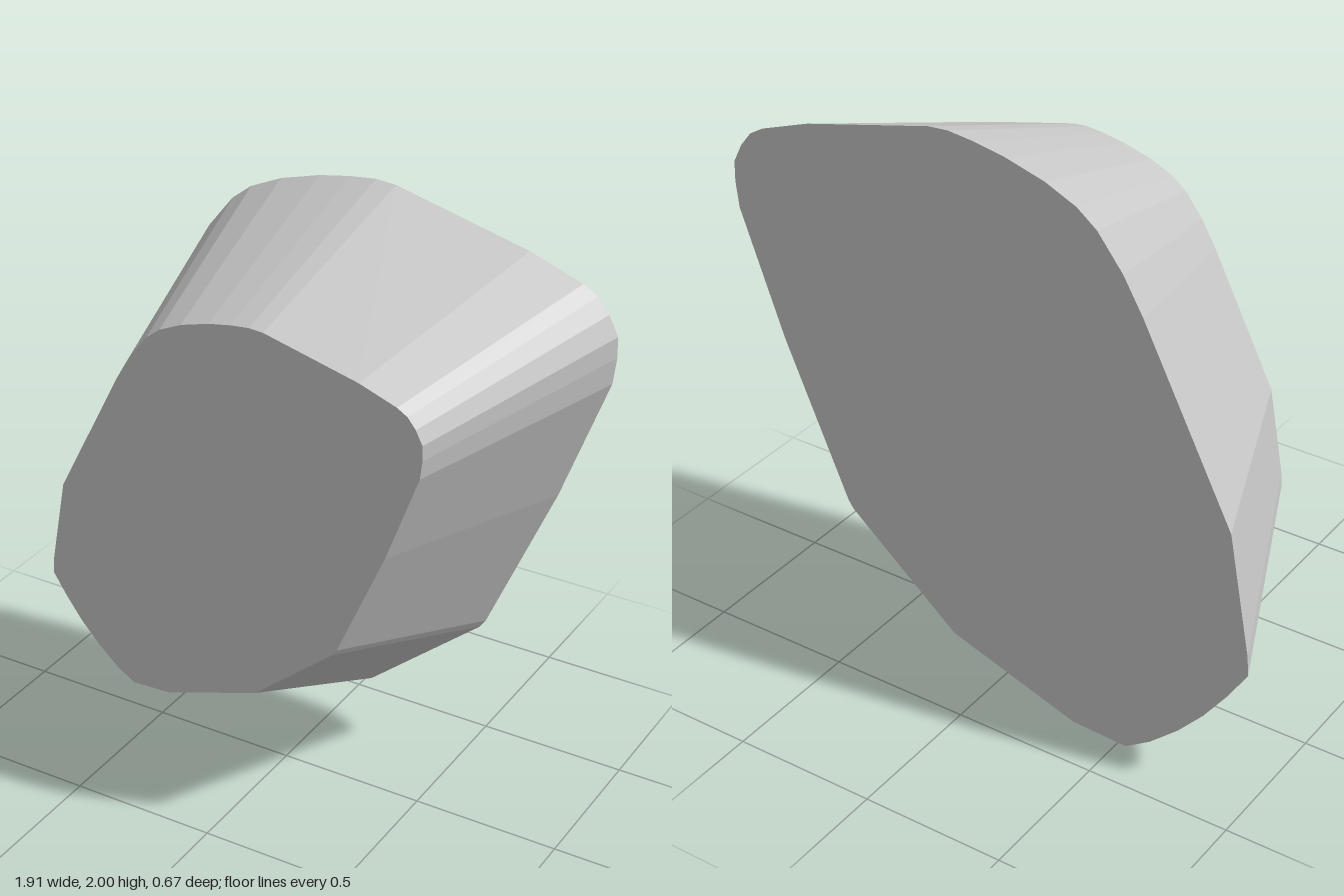
import * as THREE from 'three';

// Back outline, counter-clockwise from the bottom
const OUTLINE = [
  [-0.53, 0], [-0.33, 0.01], [0.14, 0.17], [0.54, 0.51], [0.56, 0.54], [0.79, 1.08],
  [0.945, 1.51], [0.955, 1.6], [0.953, 1.67], [0.92, 1.735], [0.88, 1.785], [0.83, 1.815],
  [0.65, 1.88], [0.19, 1.995], [0.12, 2], [0.03, 1.99], [-0.08, 1.97], [-0.22, 1.93],
  [-0.33, 1.88], [-0.40, 1.825], [-0.49, 1.71], [-0.56, 1.59], [-0.88, 0.96],
  [-0.955, 0.54], [-0.96, 0.47], [-0.89, 0.36], [-0.81, 0.25], [-0.72, 0.15], [-0.62, 0.06],
];
const DEPTH = 0.67;
const TAPER = 0.7;

export function createModel() {
  const model = new THREE.Group();
  model.name = 'taperedBlock';

  const grey = new THREE.MeshStandardMaterial({ color: 0xc8c8c8 });
  grey.name = 'light grey';

  // Straight prism from the outline
  const shape = new THREE.Shape(OUTLINE.map(([x, y]) => new THREE.Vector2(x, y)));
  const geometry = new THREE.ExtrudeGeometry(shape, { depth: DEPTH, bevelEnabled: false });
  geometry.translate(0, 0, -DEPTH / 2);

  // Shrink the front face to taper the sides
  const p = geometry.attributes.position;
  for (let i = 0; i < p.count; i++) {
    if (p.getZ(i) > 0) p.setXY(i, p.getX(i) * TAPER - 0.013, p.getY(i) * TAPER + 0.36);
  }
  geometry.computeVertexNormals();

  const block = new THREE.Mesh(geometry, grey);
  block.name = 'block';
  model.add(block);
  return model;
}
